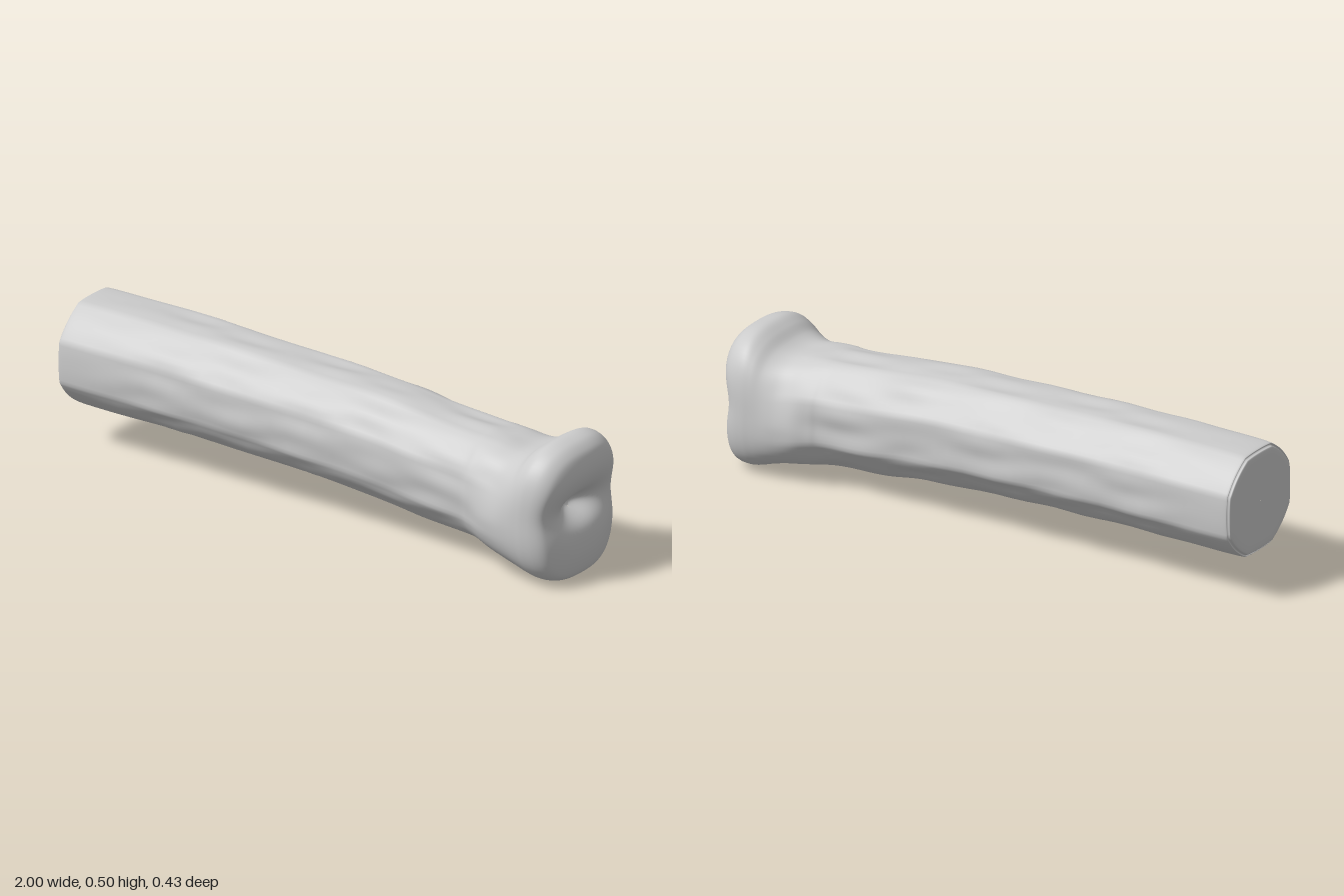
import * as THREE from 'three';

const SIDES = 96, STEPS = 7;
const { smoothstep, lerp } = THREE.MathUtils;

// Cross-sections from the flat cut end to the knob: x, top y, bottom y, half depth
const SECTIONS = [
  [-1, 0.316, 0.314, 0.001], [-1, 0.465, 0.166, 0.155],
  [-0.988, 0.487, 0.143, 0.177], [-0.95, 0.498, 0.135, 0.186],
  [-0.6, 0.498, 0.134, 0.187], [-0.2, 0.487, 0.125, 0.184], [0.2, 0.474, 0.104, 0.179],
  [0.4, 0.453, 0.08, 0.176], [0.58, 0.438, 0.066, 0.175], [0.64, 0.435, 0.06, 0.187],
  [0.7, 0.43, 0.05, 0.205], [0.77, 0.42, 0.038, 0.213], [0.82, 0.431, 0.025, 0.215],
  [0.86, 0.46, 0.012, 0.216], [0.9, 0.479, 0.003, 0.216], [0.945, 0.473, 0.003, 0.21],
  [0.975, 0.452, 0.014, 0.196], [0.99, 0.425, 0.04, 0.172], [0.999, 0.38, 0.09, 0.13],
  [1, 0.32, 0.15, 0.07], [1, 0.237, 0.233, 0.001],
];

const bump = (v, width) => Math.exp(-((v / width) ** 2));

// Shallow dents and ridges that run lengthwise and fade out at both ends
function ridges(x, a) {
  const fade = smoothstep(x, -0.98, -0.6) * (1 - smoothstep(x, 0.6, 0.8));
  return fade * (0.002 * Math.sin(9 * a + 0.8 * Math.sin(4 * x))
    + 0.0018 * Math.sin(13 * a + 1) * Math.sin(11 * x + 2)
    + 0.0022 * Math.sin(23 * x + 2 * Math.sin(3 * a)) * Math.sin(5 * a + 2));
}

// One point on the skin: a soft octagon on the shaft, a rounded square on the knob
function skinPoint(x, top, bottom, depth, a) {
  const knob = smoothstep(x, 0.5, 0.85);
  const n = lerp(2.4, 3.0, knob);
  const c = Math.cos(a), s = Math.sin(a), eighth = Math.PI / 4;
  const round = (Math.abs(c) ** n + Math.abs(s) ** n) ** (-1 / n);
  const octagon = 1 / Math.cos(a - Math.round(a / eighth) * eighth);
  const r = lerp(round, octagon, 0.5 * (1 - knob));
  const bulge = ridges(x, a);
  const y = (top + bottom) / 2 + c * (r * (top - bottom) / 2 + bulge);
  // Neck: the upper half stays narrow behind the upper lobe
  const neck = 1 - 0.13 * smoothstep(y, 0.2, 0.36) * bump(x - 0.73, 0.08);
  const z = s * (r * depth + bulge) * neck;

  // End face: bowed across, with a groove between the lobes and a dimple in its middle
  const end = smoothstep(x, 0.8, 0.98);
  const across = Math.min(1, (z / 0.21) ** 2);
  const bow = 0.02 * across;
  const groove = 0.043 * (1 - 0.65 * across) * bump(y - 0.255, 0.075);
  const dimple = 0.055 * bump(y - 0.25, 0.04) * bump(z, 0.075);
  const lower = 0.012 * (1 - smoothstep(y, 0.1, 0.3));
  return [x - end * (bow + groove + dimple + lower), y, z];
}

export function createModel() {
  const group = new THREE.Group();
  group.name = 'boneHandle';

  // Smooth curves through the section table
  const curve = (pick) => new THREE.CatmullRomCurve3(
    SECTIONS.map((s) => new THREE.Vector3(...pick(s))), false, 'catmullrom', 0.5);
  const outline = curve((s) => [s[0], s[1], s[2]]);
  const depths = curve((s) => [s[3], 0, 0]);

  // Cut end, shaft and lobed knob as one continuous loft
  const rings = (SECTIONS.length - 1) * STEPS;
  const positions = [], index = [];
  for (let i = 0; i <= rings; i++) {
    const p = outline.getPoint(i / rings), d = depths.getPoint(i / rings).x;
    for (let j = 0; j < SIDES; j++) {
      positions.push(...skinPoint(Math.max(-1, p.x), p.y, p.z, d, (j / SIDES) * Math.PI * 2));
      if (i === rings) continue;
      const a = i * SIDES + j, b = i * SIDES + ((j + 1) % SIDES);
      index.push(a, b, a + SIDES, b, b + SIDES, a + SIDES);
    }
  }
  const geometry = new THREE.BufferGeometry();
  geometry.setAttribute('position', new THREE.Float32BufferAttribute(positions, 3));
  geometry.setIndex(index);
  geometry.computeVertexNormals();

  const body = new THREE.Mesh(geometry, new THREE.MeshStandardMaterial({ color: 0xcccccc }));
  body.name = 'shaftAndKnob';
  group.add(body);
  return group;
}
